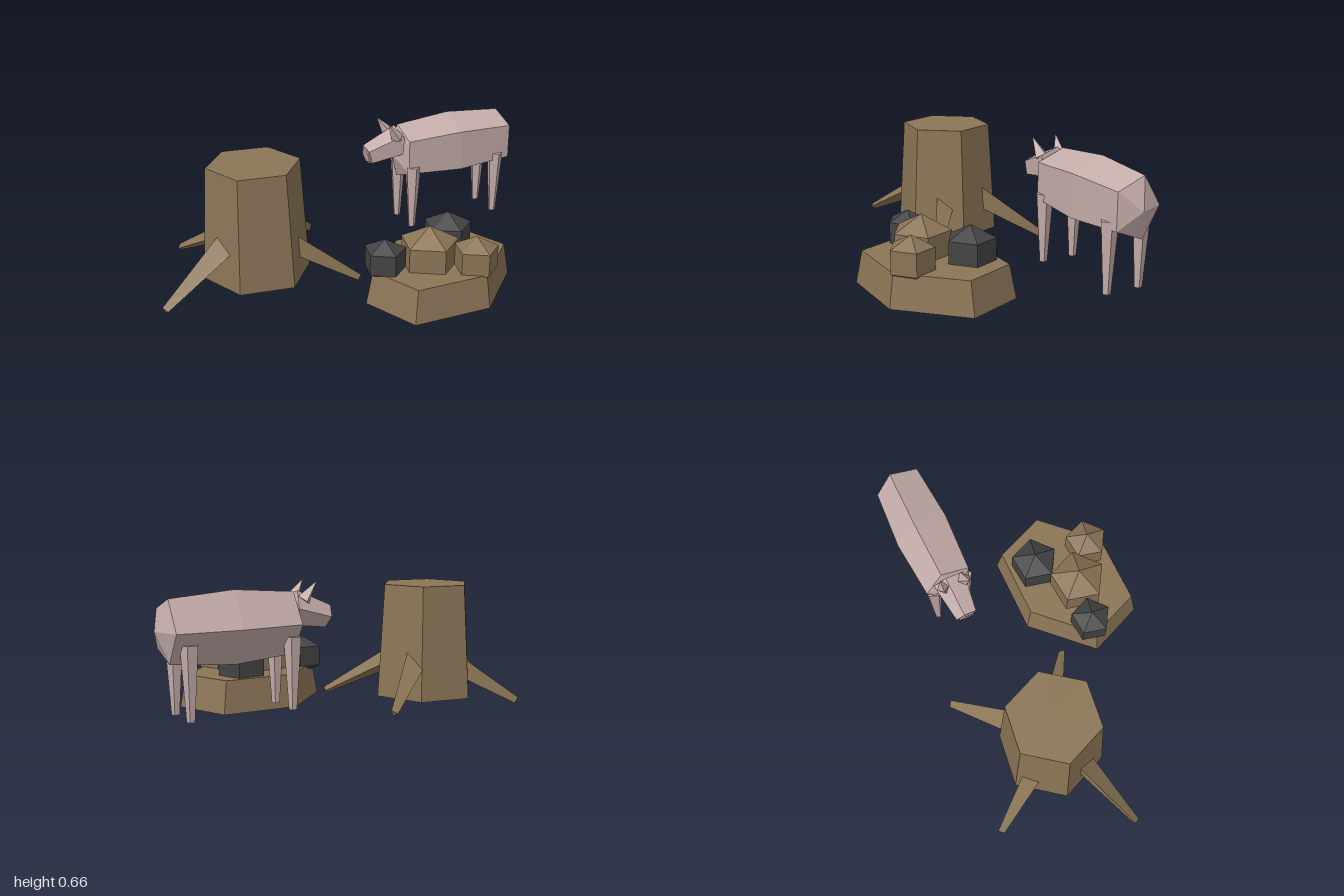
import * as THREE from 'three';

const flat = (name, color) => {
  const m = new THREE.MeshStandardMaterial({ color, flatShading: true });
  m.name = name;
  return m;
};

export function createModel() {
  const brown = flat('brown wood and earth', 0x8b7556);
  const charcoal = flat('charcoal stone', 0x444444);
  const pink = flat('dusty pink hide', 0xc4aca9);
  const model = new THREE.Group();

  const add = (parent, name, geometry, material, x = 0, y = 0, z = 0) => {
    const mesh = new THREE.Mesh(geometry, material);
    mesh.name = name;
    mesh.position.set(x, y, z);
    parent.add(mesh);
    return mesh;
  };

  // Tapered prism running between two points
  const strut = (parent, name, material, from, to, r0, r1, sides, start = 0) => {
    const a = new THREE.Vector3(...from), b = new THREE.Vector3(...to);
    const dir = b.clone().sub(a);
    const geometry = new THREE.CylinderGeometry(r1, r0, dir.length(), sides, 1, false, start);
    const mid = a.add(b).multiplyScalar(0.5);
    const mesh = add(parent, name, geometry, material, mid.x, mid.y, mid.z);
    mesh.quaternion.setFromUnitVectors(new THREE.Vector3(0, 1, 0), dir.normalize());
    return mesh;
  };

  // Tree stump with four three-sided roots
  const stump = new THREE.Group();
  stump.name = 'stump';
  stump.position.set(-0.435, 0, -0.26);
  add(stump, 'trunk', new THREE.CylinderGeometry(0.225, 0.26, 0.56, 6), brown, 0, 0.32, 0);
  const rootTips = [[-0.555, 0], [0.52, -0.17], [-0.1, -0.475], [0.285, 0.415]];
  rootTips.forEach(([dx, dz]) => {
    const root = new THREE.Group();
    root.name = 'root';
    root.rotation.y = Math.atan2(-dz, dx);
    const reach = Math.hypot(dx, dz);
    strut(root, 'rootSpike', brown, [reach - 0.41, 0.255, 0], [reach, 0.045, 0], 0.068, 0.02, 3, Math.PI);
    stump.add(root);
  });
  model.add(stump);

  // Earth mound with faceted rocks
  const mound = new THREE.Group();
  mound.name = 'rockMound';
  const base = add(mound, 'moundBase', new THREE.CylinderGeometry(0.375, 0.41, 0.16, 6), brown, 0.09, 0.08, 0.45);
  base.scale.z = 0.73;
  const rocks = [
    // x, y, z, radius, half height, material
    [0.01, 0.2, 0.445, 0.162, 0.15, brown],
    [0.12, 0.21, 0.635, 0.122, 0.11, brown],
    [-0.175, 0.21, 0.333, 0.115, 0.1, charcoal],
    [0.24, 0.205, 0.372, 0.135, 0.12, charcoal],
  ];
  rocks.forEach(([x, y, z, r, h, material]) => {
    add(mound, 'rock', new THREE.SphereGeometry(r, 5, 3).scale(1, h / r, 1), material, x, y, z);
  });
  model.add(mound);

  // Animal: built along local x with the head at -x, then turned
  const animal = new THREE.Group();
  animal.name = 'animal';
  animal.position.set(0.67, 0, 0.04);
  animal.rotation.y = -0.375;

  const profile = [[0, -0.345], [0.128, -0.295], [0.15, 0], [0.128, 0.3], [0, 0.35]]
    .map(([r, y]) => new THREE.Vector2(r, y));
  const body = new THREE.LatheGeometry(profile, 5, Math.PI).rotateZ(-Math.PI / 2).scale(1, 1.15, 0.97);
  add(animal, 'body', body, pink, 0, 0.475, 0);

  strut(animal, 'head', pink, [-0.3, 0.54, 0], [-0.485, 0.49, 0], 0.084, 0.055, 5, Math.PI);
  strut(animal, 'muzzle', pink, [-0.48, 0.49, 0], [-0.492, 0.487, 0], 0.042, 0.04, 5, Math.PI);

  // Ears and legs, mirrored
  for (const side of [-1, 1]) {
    strut(animal, 'ear', pink, [-0.34, 0.575, side * 0.05], [-0.396, 0.655, side * 0.064], 0.034, 0.002, 4);
    strut(animal, 'frontLeg', pink, [-0.265, 0.42, side * 0.083], [-0.265, 0.09, side * 0.083], 0.042, 0.019, 5);
    strut(animal, 'hindLeg', pink, [0.227, 0.42, side * 0.085], [0.227, 0.09, side * 0.085], 0.042, 0.019, 5);
  }
  model.add(animal);

  return model;
}
